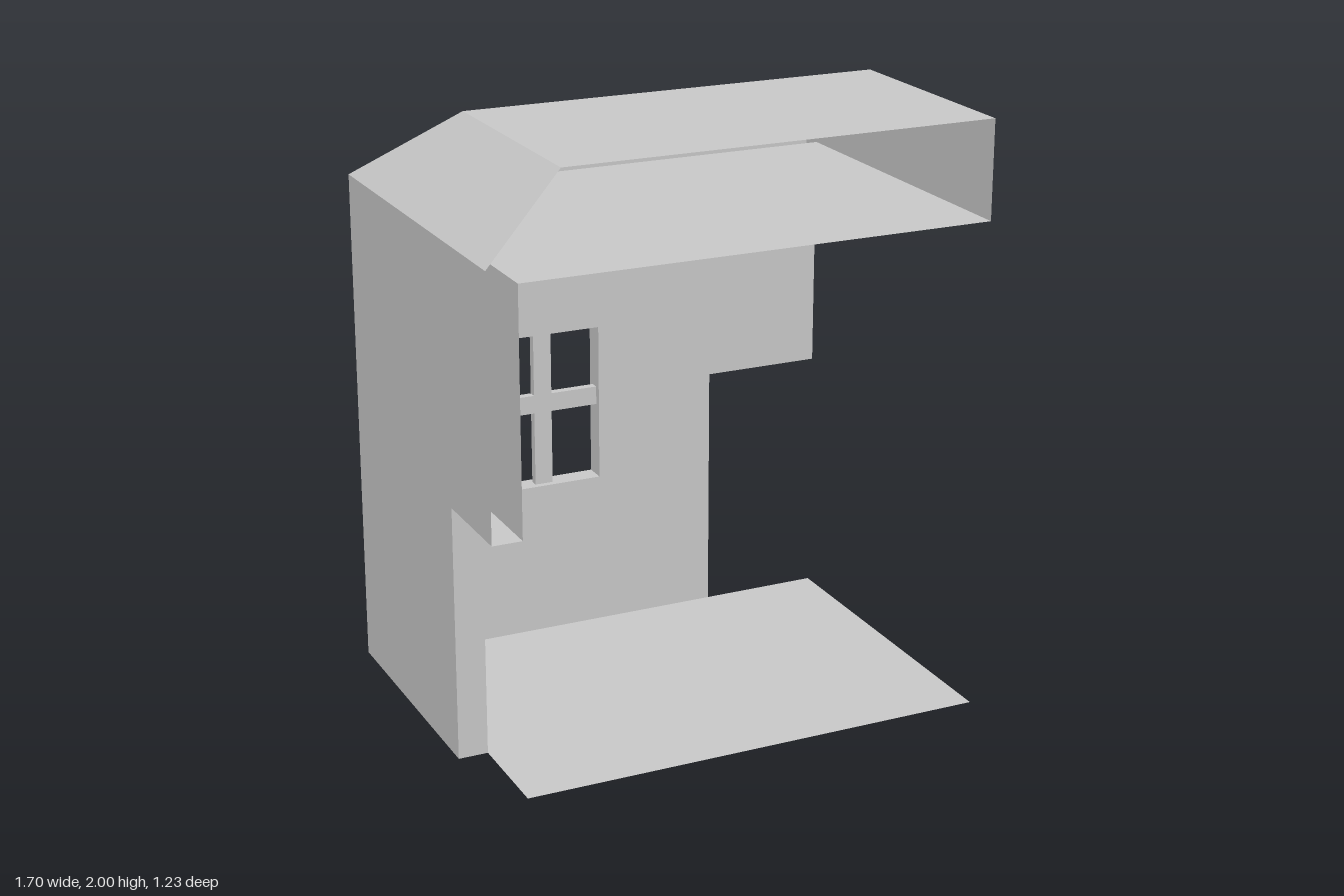
import * as THREE from 'three';

const material = new THREE.MeshStandardMaterial({ color: 0xcccccc, flatShading: true, side: THREE.DoubleSide });

// Key lines of the corner house: outer shell, inner shell, ledge and roof
const X0 = -0.85, X1 = 0.85, XI = -0.75, XJ = 0.435, XR = -0.61;
const Z0 = -0.615, Z1 = 0.615, ZI = -0.54, ZJ = 0.275, ZR = -0.175;
const LEDGE = 0.865, CEIL = 1.67, EAVE = 1.72, TOP = 2;
const WIN = { x0: -0.425, x1: 0.005, y0: 0.545, y1: 1.1 };

const rect = (a, b, c, d) => [[a, b], [c, b], [c, d], [a, d]];
const toPoints = (pts) => pts.map(([u, v]) => new THREE.Vector2(u, v));

export function createModel() {
  const model = new THREE.Group();
  model.name = 'cornerHouse';

  // Flat sheet from a 2D outline, placed in space by a mapping (u, v) -> [x, y, z]
  function sheet(name, outline, map, hole) {
    const shape = new THREE.Shape(toPoints(outline));
    if (hole) shape.holes.push(new THREE.Path(toPoints(hole)));
    const geometry = new THREE.ShapeGeometry(shape);
    const p = geometry.attributes.position;
    for (let i = 0; i < p.count; i++) p.setXYZ(i, ...map(p.getX(i), p.getY(i)));
    geometry.computeVertexNormals();
    const mesh = new THREE.Mesh(geometry, material);
    mesh.name = name;
    model.add(mesh);
  }
  const atX = (x) => (z, y) => [x, y, z];
  const atY = (y) => (x, z) => [x, y, z];
  const atZ = (z) => (x, y) => [x, y, z];

  // Wall outline: full width above the ledge, stepped back below it
  const wall = (start, jamb, end, top) =>
    [[start, 0], [jamb, 0], [jamb, LEDGE], [end, LEDGE], [end, top], [start, top]];

  // Back wall with window opening, and side wall, each an outer and an inner skin
  const opening = rect(WIN.x0, WIN.y0, WIN.x1, WIN.y1);
  sheet('backWallOuter', wall(X0, XJ, X1, EAVE), atZ(Z0), opening);
  sheet('backWallInner', wall(XI, XJ, X1, CEIL), atZ(ZI), opening);
  sheet('sideWallOuter', wall(Z0, ZJ, Z1, EAVE), atX(X0));
  sheet('sideWallInner', wall(ZI, ZJ, Z1, CEIL), atX(XI));

  // Jambs, ledges and feet that close the gap between the skins
  sheet('backWallJamb', rect(Z0, 0, ZI, LEDGE), atX(XJ));
  sheet('sideWallJamb', rect(X0, 0, XI, LEDGE), atZ(ZJ));
  sheet('backWallLedge', rect(XJ, Z0, X1, ZI), atY(LEDGE));
  sheet('sideWallLedge', rect(X0, ZJ, XI, Z1), atY(LEDGE));
  sheet('backWallFoot', rect(X0, Z0, XJ, ZI), atY(0));
  sheet('sideWallFoot', rect(X0, ZI, XI, ZJ), atY(0));

  // Floor and ceiling
  sheet('floor', rect(XI, ZI, X1, Z1), atY(0));
  sheet('ceiling', rect(XI, ZI, X1, Z1), atY(CEIL));

  // Hipped roof: flat top and two slopes, open at the front
  sheet('roofTop', rect(XR, ZR, X1, Z1), atY(TOP));
  sheet('roofBackSlope', [[X0, 0], [X1, 0], [X1, 1], [XR, 1]],
    (x, t) => [x, EAVE + t * (TOP - EAVE), Z0 + t * (ZR - Z0)]);
  sheet('roofSideSlope', [[Z0, 0], [Z1, 0], [Z1, 1], [ZR, 1]],
    (z, t) => [X0 + t * (XR - X0), EAVE + t * (TOP - EAVE), z]);

  // Closed end of roof and back wall
  sheet('endCap', [[Z0, LEDGE], [ZI, LEDGE], [ZI, CEIL], [Z1, CEIL], [Z1, TOP], [ZR, TOP], [Z0, EAVE]], atX(X1));

  // Window reveals through the wall
  for (const x of [WIN.x0, WIN.x1]) sheet('windowReveal', rect(Z0, WIN.y0, ZI, WIN.y1), atX(x));
  for (const y of [WIN.y0, WIN.y1]) sheet('windowReveal', rect(WIN.x0, Z0, WIN.x1, ZI), atY(y));

  // Window cross bars, set in the middle of the wall
  function bar(name, x0, x1, y0, y1) {
    const mesh = new THREE.Mesh(new THREE.BoxGeometry(x1 - x0, y1 - y0, 0.03), material);
    mesh.position.set((x0 + x1) / 2, (y0 + y1) / 2, (Z0 + ZI) / 2);
    mesh.name = name;
    model.add(mesh);
  }
  bar('windowMullion', -0.23, -0.165, WIN.y0, WIN.y1);
  bar('windowTransomRight', WIN.x0, -0.23, 0.81, 0.875);
  bar('windowTransomLeft', -0.165, WIN.x1, 0.81, 0.875);

  return model;
}
